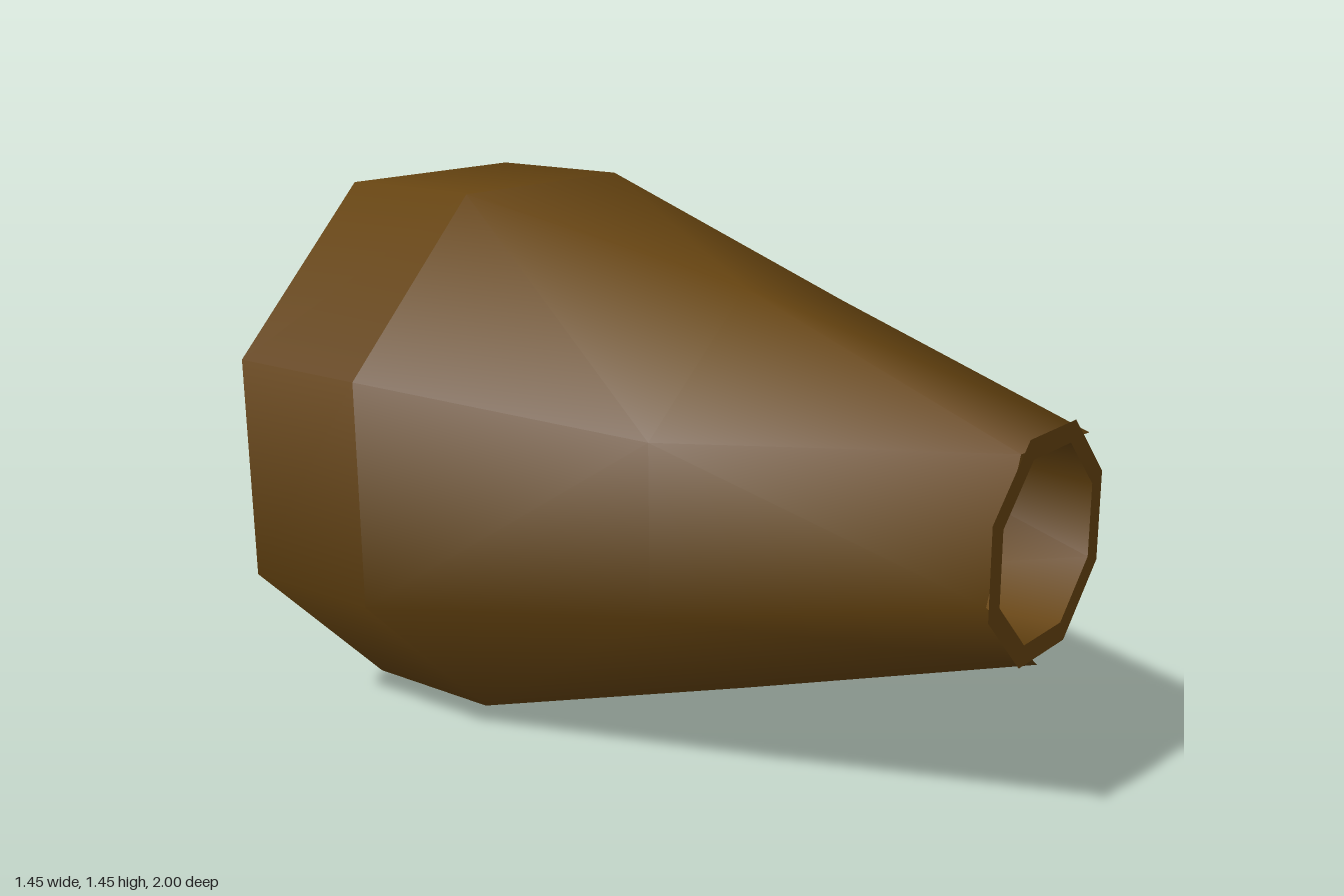
import * as THREE from 'three';

const CY = 0.728; // height of the axis
const rad = THREE.MathUtils.degToRad;

// Evenly spaced corner angles in degrees
const spaced = (n, start) => Array.from({ length: n }, (_, i) => start + (360 / n) * i);
const section = (z, r, angles) => ({ z, r, angles });

// Skin cross-sections with differing corner counts, ordered from rear to front
function loft(sections, inward = false) {
  const pos = [], nor = [], index = [];
  const sign = inward ? -1 : 1;
  for (let s = 0; s < sections.length - 1; s++) {
    const pair = [sections[s], sections[s + 1]];
    const slope = (pair[0].r - pair[1].r) / (pair[1].z - pair[0].z);
    const base = pair.map(({ z, r, angles }) => {
      const first = pos.length / 3;
      for (const a of angles) {
        const c = Math.cos(rad(a)), k = Math.sin(rad(a));
        pos.push(r * c, CY + r * k, z);
        const n = new THREE.Vector3(c, k, slope).normalize().multiplyScalar(sign);
        nor.push(n.x, n.y, n.z);
      }
      return first;
    });
    const [A, B] = pair.map((p) => p.angles);
    const at = (list, i) => list[i % list.length] + 360 * Math.floor(i / list.length);
    let i = 0, j = 0;
    while (i < A.length || j < B.length) {
      const a = base[0] + (i % A.length), b = base[1] + (j % B.length);
      const stepA = j >= B.length ||
        (i < A.length && at(A, i) + at(A, i + 1) <= at(B, j) + at(B, j + 1));
      const tri = stepA
        ? [a, base[0] + (++i % A.length), b]
        : [a, base[1] + (++j % B.length), b];
      index.push(...(inward ? tri.reverse() : tri));
    }
  }
  const g = new THREE.BufferGeometry();
  g.setAttribute('position', new THREE.Float32BufferAttribute(pos, 3));
  g.setAttribute('normal', new THREE.Float32BufferAttribute(nor, 3));
  g.setIndex(index);
  return g;
}

// Flat polygon with a polygonal hole
function annulus(outer, inner) {
  const pts = ({ r, angles }) =>
    angles.map((a) => new THREE.Vector2(r * Math.cos(rad(a)), r * Math.sin(rad(a))));
  const shape = new THREE.Shape(pts(outer));
  shape.holes.push(new THREE.Path(pts(inner)));
  return new THREE.ShapeGeometry(shape);
}

export function createModel() {
  const group = new THREE.Group();
  group.name = 'taperedNozzle';
  const material = new THREE.MeshStandardMaterial({ color: 0x654310 });
  const add = (name, geometry) => {
    const mesh = new THREE.Mesh(geometry, material);
    mesh.name = name;
    group.add(mesh);
    return mesh;
  };

  const octagon = spaced(8, -22.5);
  const rearHole = section(-1, 0.285, spaced(5, -57.5));
  const frontHole = section(1, 0.245, spaced(8, -67.5));

  // Straight octagonal collar at the rear
  add('collar', loft([section(-1, 0.786, octagon), section(-0.57, 0.786, octagon)]));

  // Faceted taper narrowing to a five-cornered tip
  add('taper', loft([
    section(-0.57, 0.786, octagon),
    section(0.2, 0.548, [-22.5, 18, 53, 102, 156, 204, 259, 303]),
    section(1, 0.3, spaced(5, -22)),
  ]));

  // Twisted bore running through the body
  add('bore', loft([rearHole, section(0.2, 0.26, spaced(3, -82)), frontHole], true));

  // Flat rim around the front opening
  add('frontRim', annulus(section(1, 0.301, octagon), frontHole)).position.set(0, CY, 1);

  // Rear plate with its five-sided opening, turned to face backwards
  const mirror = (s) => section(s.z, s.r, s.angles.map((a) => 180 - a).reverse());
  const plate = add('rearPlate', annulus(section(-1, 0.786, octagon), mirror(rearHole)));
  plate.position.set(0, CY, -1);
  plate.rotation.y = Math.PI;

  return group;
}
